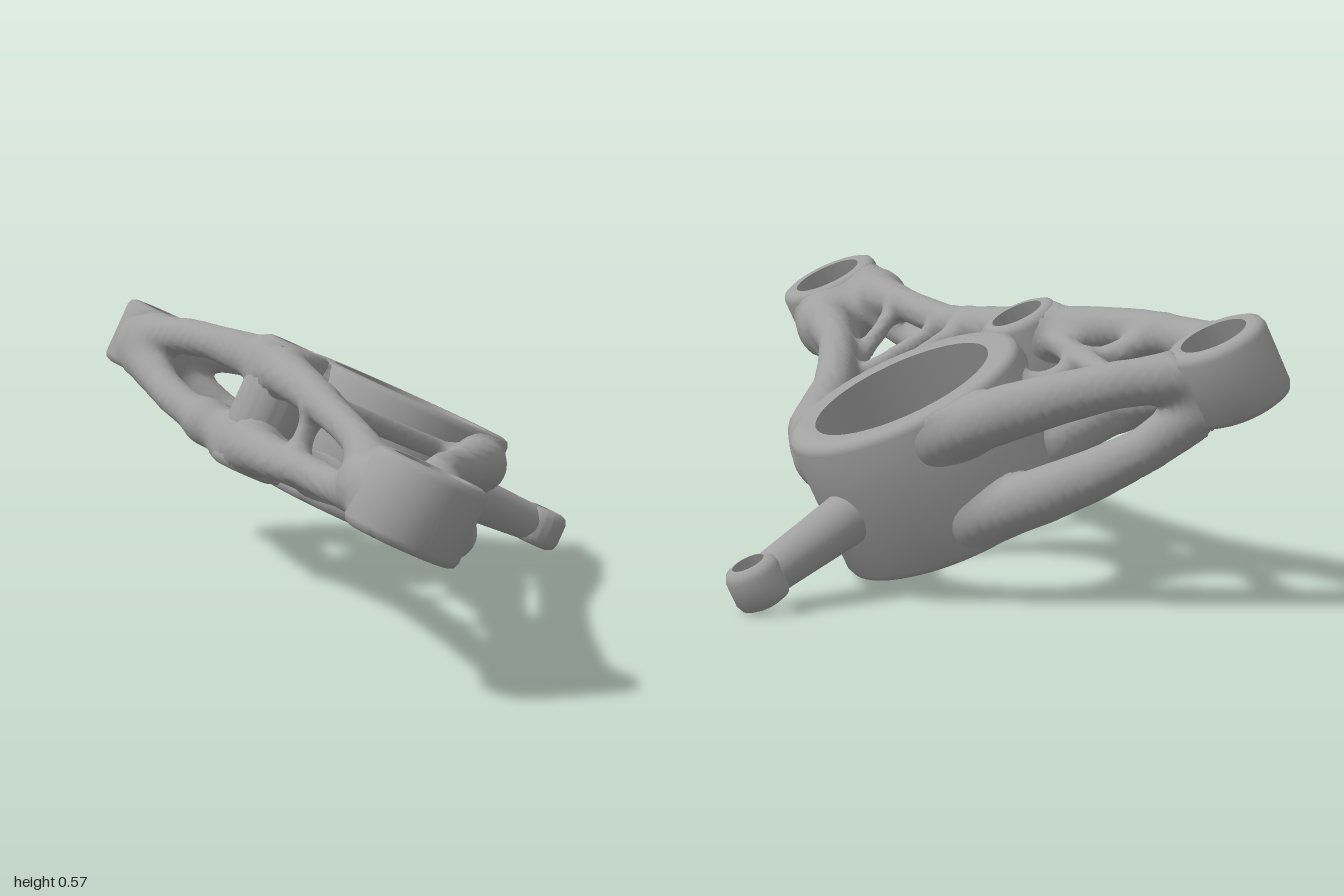
import * as THREE from 'three';
import { toCreasedNormals } from 'three/addons/utils/BufferGeometryUtils.js';

// Local frame: y runs along the bores; the whole bracket is tilted about z.
const TILT = -25 * Math.PI / 180;
const MID = 0.25;

const bosses = [
  { name: 'hubRing', x: -0.074, z: -0.455, r: 0.245, bore: 0.185, lo: 0.1, hi: 0.4 },
  { name: 'smallBoss', x: -0.369, z: -0.38, r: 0.08, bore: 0.053, lo: 0.1, hi: 0.402 },
  { name: 'frontBoss', x: -0.32, z: 0.885, r: 0.115, bore: 0.078, lo: 0.172, hi: 0.33 },
  { name: 'backBoss', x: -0.563, z: -0.9, r: 0.1, bore: 0.066, lo: 0.182, hi: 0.335 },
];

// Rails come in mirrored upper and lower pairs: [x, z, height off mid-plane, radius]
const rails = {
  right: [[0.11, -0.38, 0.08, 0.06], [0.065, -0.2, 0.08, 0.06], [-0.06, 0.09, 0.06, 0.043],
    [-0.18, 0.43, 0.05, 0.04], [-0.26, 0.84, 0.003, 0.06]],
  left: [[-0.4, -0.4, 0.092, 0.056], [-0.365, -0.12, 0.08, 0.044], [-0.35, 0.1, 0.065, 0.036],
    [-0.36, 0.45, 0.05, 0.035], [-0.385, 0.84, 0.003, 0.06]],
  backLeft: [[-0.6, -0.86, 0.015, 0.055], [-0.55, -0.7, 0.06, 0.04], [-0.5, -0.56, 0.08, 0.04], [-0.4, -0.4, 0.092, 0.056]],
  back: [[-0.53, -0.9, 0.022, 0.052], [-0.37, -0.84, 0.07, 0.044], [-0.18, -0.73, 0.09, 0.055], [-0.05, -0.66, 0.09, 0.055]],
  bridge: [[-0.37, -0.38, 0.088, 0.058], [-0.26, -0.41, 0.085, 0.055], [-0.27, -0.58, 0.06, 0.035]],
};

// Struts: rail, level (1 upper, -1 lower), position along it; the same for the far end; radius
const struts = [
  ['left', 1, 0.36, 'right', 1, 0.27, 0.023],
  ['left', 1, 0.48, 'right', 0, 0.64, 0.02],
  ['left', 1, 0.78, 'right', 0, 0.68, 0.019],
  ['left', -1, 0.59, 'right', -1, 0.67, 0.018],
  ['left', 1, 0.35, 'left', -1, 0.37, 0.022],
  ['left', -1, 0.09, 'right', -1, 0.23, 0.045],
  ['left', 0, 0.96, 'right', 0, 0.96, 0.065],
  ['back', 1, 0.33, 'left', 1, 0, 0.026],
  ['backLeft', 1, 0.38, 'bridge', 1, 1, 0.024],
  ['backLeft', -1, 0.8, 'bridge', -1, 1, 0.046],
];

// Point and radius [x, y, z, r] at t along a rail, on the given level
function railPoint(name, level) {
  const points = rails[name], spans = points.length - 1;
  const curve = new THREE.CatmullRomCurve3(points.map(([x, z, h]) => new THREE.Vector3(x, MID + level * h, z)));
  return t => {
    const k = Math.min(Math.floor(t * spans), spans - 1);
    return [...curve.getPoint(t).toArray(), THREE.MathUtils.lerp(points[k][3], points[k + 1][3], t * spans - k)];
  };
}

// Tapered capsule between two [x, y, z, r] ends
function capsule(a, b) {
  const d = b.map((v, i) => v - a[i]);
  return { a, d, len2: d[0] ** 2 + d[1] ** 2 + d[2] ** 2 };
}

function capsuleDistance({ a, d, len2 }, x, y, z) {
  const px = x - a[0], py = y - a[1], pz = z - a[2];
  const t = Math.min(1, Math.max(0, (px * d[0] + py * d[1] + pz * d[2]) / len2));
  const qx = px - t * d[0], qy = py - t * d[1], qz = pz - t * d[2];
  return Math.sqrt(qx * qx + qy * qy + qz * qz) - a[3] - t * d[3];
}

function blend(a, b, k = 0.03) {
  const h = Math.max(k - Math.abs(a - b), 0) / k;
  return Math.min(a, b) - h * h * k / 4;
}

// Distance to the blended webbing, with the bores cut out
function makeField() {
  const chains = [];
  for (const name of Object.keys(rails)) for (const level of [1, -1]) {
    const at = railPoint(name, level), n = (rails[name].length - 1) * 2;
    chains.push(Array.from({ length: n }, (_, i) => capsule(at(i / n), at((i + 1) / n))));
  }
  for (const [nameA, levelA, tA, nameB, levelB, tB, r] of struts) {
    const a = railPoint(nameA, levelA)(tA), b = railPoint(nameB, levelB)(tB);
    a[3] = b[3] = r;
    chains.push([capsule(a, b)]);
  }
  return (x, y, z) => {
    let d = 1;
    for (const chain of chains) {
      let c = 1;
      for (const s of chain) c = Math.min(c, capsuleDistance(s, x, y, z));
      d = blend(d, c);
    }
    for (const b of bosses) {
      const side = Math.hypot(x - b.x, z - b.z) - b.r + 0.01;
      const cap = Math.abs(y - (b.lo + b.hi) / 2) - (b.hi - b.lo) / 2 + 0.01;
      d = blend(d, Math.max(side, cap));
    }
    d = Math.max(d, Math.abs(y - MID) - 0.147);
    for (const b of bosses) d = Math.max(d, b.bore + 0.014 - Math.hypot(x - b.x, z - b.z));
    return d;
  };
}

// Skin the zero level of a field: one vertex per crossed cell, one quad per crossed edge
function skin(field, min, max, step) {
  const n = min.map((m, i) => Math.ceil((max[i] - m) / step) + 1);
  const stride = [1, n[0], n[0] * n[1]], total = stride[2] * n[2];
  const value = new Float32Array(total).fill(1), vertex = new Int32Array(total).fill(-1);
  const positions = [], index = [];
  const each = (from, visit) => {
    for (let k = from; k < n[2] - 1; k++) for (let j = from; j < n[1] - 1; j++)
      for (let i = from; i < n[0] - 1; i++) visit([i, j, k], i + j * stride[1] + k * stride[2]);
  };
  each(0, (c, id) => { value[id] = field(...c.map((v, i) => min[i] + v * step)); });
  each(0, (c, id) => {
    const sum = [0, 0, 0];
    let hits = 0;
    for (let a = 0; a < 8; a++) for (let axis = 0; axis < 3; axis++) {
      if (a >> axis & 1) continue;
      const corner = [a & 1, a >> 1 & 1, a >> 2 & 1];
      const p = id + corner[0] + corner[1] * stride[1] + corner[2] * stride[2];
      const v0 = value[p], v1 = value[p + stride[axis]];
      if (v0 < 0 === v1 < 0) continue;
      corner[axis] = v0 / (v0 - v1);
      corner.forEach((v, i) => { sum[i] += v; });
      hits++;
    }
    if (!hits) return;
    vertex[id] = positions.length / 3;
    positions.push(...c.map((v, i) => min[i] + (v + sum[i] / hits) * step));
  });
  each(1, (c, id) => {
    for (let axis = 0; axis < 3; axis++) {
      const inside = value[id] < 0;
      if (inside === value[id + stride[axis]] < 0) continue;
      const s1 = stride[(axis + 1) % 3], s2 = stride[(axis + 2) % 3];
      const q = [id, id - s1, id - s1 - s2, id - s2].map(v => vertex[v]);
      if (!inside) q.reverse();
      index.push(q[0], q[1], q[2], q[0], q[2], q[3]);
    }
  });
  const geometry = new THREE.BufferGeometry();
  geometry.setAttribute('position', new THREE.Float32BufferAttribute(positions, 3));
  geometry.setIndex(index);
  geometry.computeVertexNormals();
  return geometry;
}

// Bored cylinder with softened outer edges
function ring(r, bore, lo, hi, bevel = 0.016) {
  const outline = [[bore, lo], [r - bevel, lo], [r - bevel * 0.3, lo + bevel * 0.3], [r, lo + bevel],
    [r, hi - bevel], [r - bevel * 0.3, hi - bevel * 0.3], [r - bevel, hi], [bore, hi], [bore, lo]];
  const lathe = new THREE.LatheGeometry(outline.map(p => new THREE.Vector2(...p)), 56);
  return toCreasedNormals(lathe, 0.9);
}

export function createModel() {
  const metal = new THREE.MeshStandardMaterial({ color: 0xa0a0a0 });
  metal.name = 'grey metal';
  const model = new THREE.Group();
  model.name = 'bracket';
  const body = new THREE.Group();
  body.name = 'tiltedBody';
  body.rotation.z = TILT;
  model.add(body);
  const add = (name, geometry) => {
    const mesh = new THREE.Mesh(geometry, metal);
    mesh.name = name;
    body.add(mesh);
    return mesh;
  };

  // organic lattice joining the bosses
  add('lattice', skin(makeField(), [-0.7, 0.07, -1.03], [0.22, 0.44, 1.04], 0.012));

  // bored bosses
  for (const b of bosses) add(b.name, ring(b.r, b.bore, b.lo, b.hi)).position.set(b.x, 0, b.z);

  // side pin ending in a drilled eye
  const root = new THREE.Vector3(0.14, 0.245, -0.535), eye = new THREE.Vector3(0.375, 0.243, -0.617);
  const direction = eye.clone().sub(root).normalize();
  const end = eye.clone().addScaledVector(direction, -0.036);
  const pin = add('pin', new THREE.CylinderGeometry(0.043, 0.054, root.distanceTo(end), 32));
  pin.position.copy(root).lerp(end, 0.5);
  pin.quaternion.setFromUnitVectors(new THREE.Vector3(0, 1, 0), direction);
  add('pinEye', ring(0.055, 0.033, -0.044, 0.044, 0.02)).position.copy(eye);

  return model;
}
